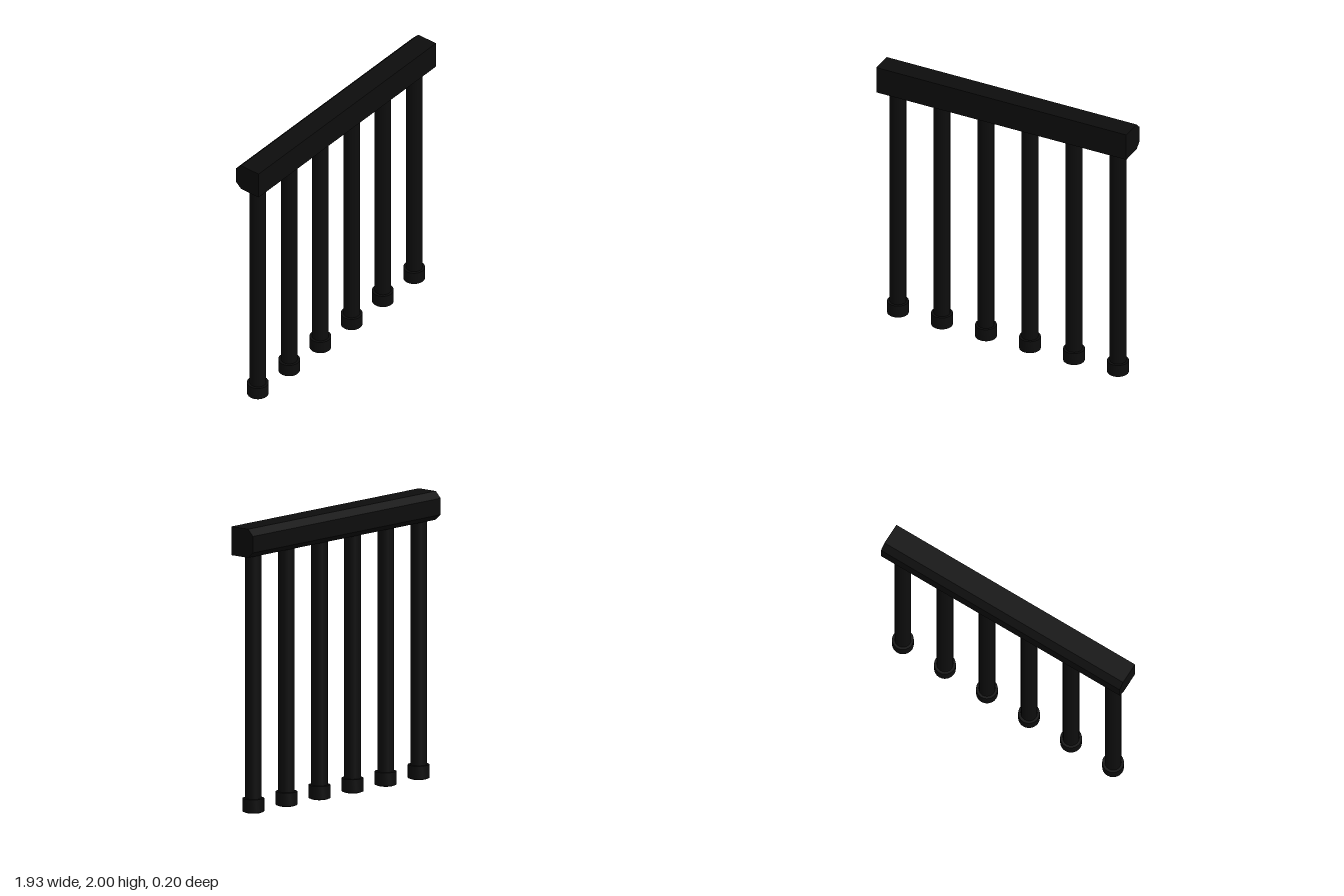
import * as THREE from 'three';
import { toCreasedNormals } from 'three/addons/utils/BufferGeometryUtils.js';

export function createModel() {
  const model = new THREE.Group();
  const material = new THREE.MeshStandardMaterial({ color: 0x0d0d0d });

  const add = (name, geometry, parent) => {
    const mesh = new THREE.Mesh(geometry, material);
    mesh.name = name;
    parent.add(mesh);
    return mesh;
  };

  // Top rail: flat front, chamfered back edges (profile x = -z, extruded along x)
  const length = 1.93;
  const profile = new THREE.Shape([
    [-0.1, 1.8], [0.055, 1.8], [0.1, 1.84], [0.1, 1.955], [0.055, 2], [-0.1, 2],
  ].map(([x, y]) => new THREE.Vector2(x, y)));
  const railGeometry = new THREE.ExtrudeGeometry(profile, { depth: length, bevelEnabled: false });
  railGeometry.translate(0, 0, -length / 2).rotateY(Math.PI / 2);
  add('topRail', railGeometry, model);

  // Round post and its wider foot collar with a slightly eased bottom edge
  const postGeometry = new THREE.CylinderGeometry(0.057, 0.057, 1.78, 24);
  postGeometry.translate(0, 0.93, 0);
  const footGeometry = toCreasedNormals(new THREE.LatheGeometry([
    [0, 0], [0.055, 0], [0.075, 0.008], [0.075, 0.1], [0, 0.1],
  ].map(([x, y]) => new THREE.Vector2(x, y)), 24), 0.6);

  // Six evenly spaced balusters
  for (let i = 0; i < 6; i++) {
    const baluster = new THREE.Group();
    baluster.name = `baluster${i + 1}`;
    baluster.position.x = -0.85 + i * 0.34;
    add('post', postGeometry, baluster);
    add('foot', footGeometry, baluster);
    model.add(baluster);
  }

  return model;
}
